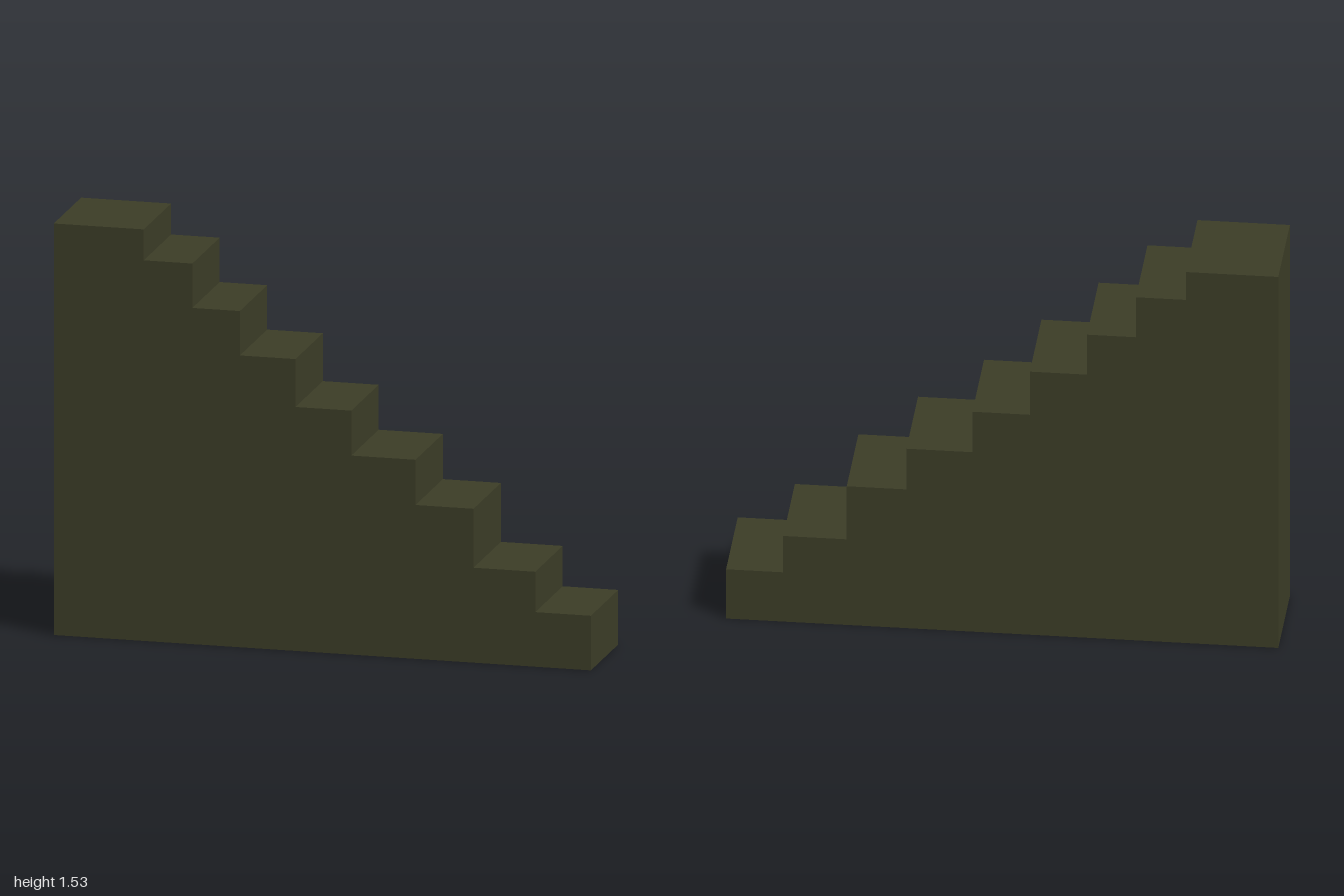
import * as THREE from 'three';

// Each step from the top landing down: [right edge x, tread height y]
const STEPS = [
  [-0.665, 1.53], [-0.484, 1.415], [-0.307, 1.25], [-0.1, 1.085], [0.108, 0.907],
  [0.347, 0.74], [0.563, 0.572], [0.793, 0.353], [1, 0.203],
];
const DEPTH = 0.386;

export function createModel() {
  const group = new THREE.Group();
  group.name = 'staircase';

  // Side profile: flat base, straight back wall, stepped slope
  const profile = new THREE.Shape();
  profile.moveTo(-1, 0);
  let x = -1;
  for (const [edge, height] of STEPS) {
    profile.lineTo(x, height);
    profile.lineTo(edge, height);
    x = edge;
  }
  profile.lineTo(1, 0);
  profile.closePath();

  // Solid flight of stairs, centred in depth
  const geometry = new THREE.ExtrudeGeometry(profile, { depth: DEPTH, bevelEnabled: false });
  geometry.translate(0, 0, -DEPTH / 2);
  const stairs = new THREE.Mesh(geometry, new THREE.MeshStandardMaterial({ color: 0x3b3c26 }));
  stairs.name = 'solidStairs';
  group.add(stairs);

  return group;
}
